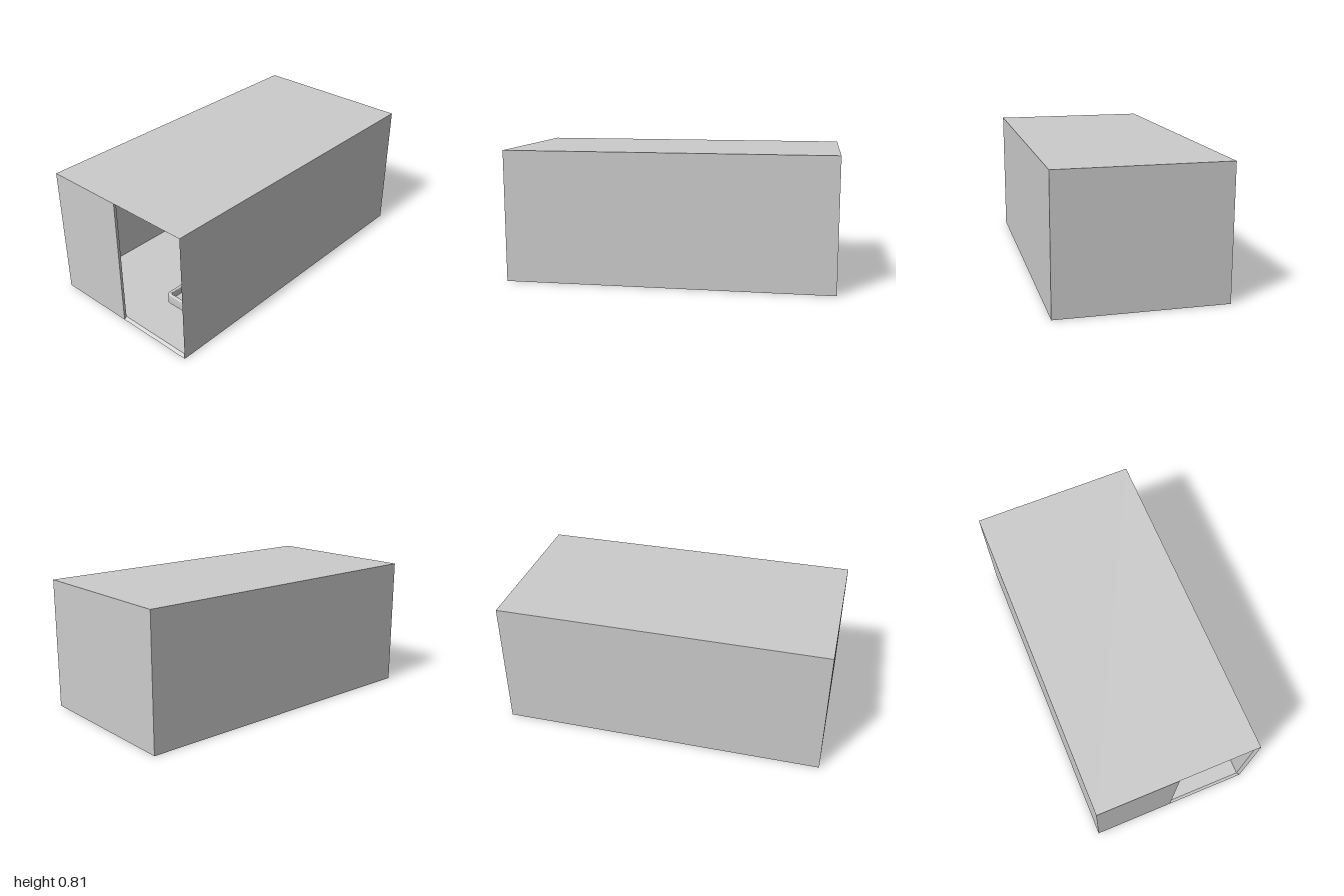
import * as THREE from 'three';
import { toCreasedNormals } from 'three/addons/utils/BufferGeometryUtils.js';

const W = 1.014, H = 0.81, T = 0.016; // cabin width, height, wall thickness
const INNER = W / 2 - T;
const grey = new THREE.MeshStandardMaterial({ color: 0xcccccc });

function add(parent, name, geometry, x = 0, y = 0, z = 0) {
  const mesh = new THREE.Mesh(geometry, grey);
  mesh.name = name;
  mesh.position.set(x, y, z);
  parent.add(mesh);
  return mesh;
}

// Rounded rectangle centred on the origin
function roundedRect(w, d, r, Type = THREE.Shape) {
  const s = new Type();
  const x = w / 2, y = d / 2;
  s.moveTo(-x + r, -y);
  s.lineTo(x - r, -y).absarc(x - r, -y + r, r, -Math.PI / 2, 0);
  s.lineTo(x, y - r).absarc(x - r, y - r, r, 0, Math.PI / 2);
  s.lineTo(-x + r, y).absarc(-x + r, y - r, r, Math.PI / 2, Math.PI);
  s.lineTo(-x, -y + r).absarc(-x + r, -y + r, r, Math.PI, Math.PI * 1.5);
  return s;
}

// Plan shape raised from y = 0 to y = h, with softened edges
function raise(shape, h, bevel = 0) {
  const g = new THREE.ExtrudeGeometry(shape, {
    depth: h - 2 * bevel, bevelEnabled: bevel > 0, bevelSize: bevel, bevelThickness: bevel,
    bevelOffset: -bevel, bevelSegments: 4, curveSegments: 10,
  });
  return toCreasedNormals(g.translate(0, 0, bevel).rotateX(-Math.PI / 2), 0.6);
}

// Open basin: a rounded rim wall and a floor plate
function basin(name, w, h, d, wall, r, floor) {
  const group = new THREE.Group();
  group.name = name;
  const rim = roundedRect(w, d, r);
  rim.holes.push(roundedRect(w - 2 * wall, d - 2 * wall, r * 0.8, THREE.Path));
  add(group, name + 'Rim', raise(rim, h, 0.007));
  add(group, name + 'Floor', raise(roundedRect(w - wall, d - wall, r * 0.9), floor));
  return group;
}

function createShell() {
  const shell = new THREE.Group();
  shell.name = 'shell';
  // Floor, roof and side walls: slabs whose front ends slope inward
  ['roof', 'rightWall', 'floor', 'leftWall'].forEach((name, i) => {
    const out = (i % 2 ? W : H) / 2, depth = i % 2 ? H : W;
    const profile = new THREE.Shape([
      new THREE.Vector2(-1, out - T), new THREE.Vector2(1 - T, out - T),
      new THREE.Vector2(1, out), new THREE.Vector2(-1, out),
    ]);
    const g = new THREE.ExtrudeGeometry(profile, { depth, bevelEnabled: false });
    g.translate(0, 0, -depth / 2).rotateY(-Math.PI / 2).rotateZ(i * Math.PI / 2);
    add(shell, name, g, 0, H / 2, 0);
  });
  add(shell, 'backWall', new THREE.BoxGeometry(W, H, T), 0, H / 2, -1 + T / 2);
  // The front is closed on one half only
  add(shell, 'frontPanel', new THREE.BoxGeometry(W / 2, H, T), -W / 4, H / 2, 1 - T / 2);
  return shell;
}

function createSink() {
  const sink = new THREE.Group();
  sink.name = 'sink';
  const bowl = basin('sinkBowl', 0.215, 0.065, 0.3, 0.018, 0.02, 0.02);
  bowl.position.set(INNER - 0.1075, 0.22, 0);
  sink.add(bowl);
  // Tap ledge along the wall
  add(sink, 'tapLedge', new THREE.BoxGeometry(0.04, 0.045, 0.26), INNER - 0.026, 0.2595, 0);

  // Bracket, rounded in plan, with its underside falling towards the wall
  const plan = new THREE.Shape();
  plan.moveTo(0.146, 0.09);
  plan.lineTo(0.06, 0.09).quadraticCurveTo(0, 0.09, 0, 0);
  plan.quadraticCurveTo(0, -0.09, 0.06, -0.09).lineTo(0.146, -0.09);
  const g = raise(plan, 0.1);
  const p = g.attributes.position;
  for (let i = 0; i < p.count; i++) {
    if (p.getY(i) < 0.05) p.setY(i, 0.055 * (1 - p.getX(i) / 0.146));
  }
  add(sink, 'bracket', toCreasedNormals(g, 0.6), 0.345, 0.122, 0);

  // Tap: post, spout with nozzle, flat lever
  add(sink, 'tapPost', new THREE.CylinderGeometry(0.006, 0.007, 0.042, 20), 0.468, 0.303, 0);
  add(sink, 'tapSpout', new THREE.BoxGeometry(0.055, 0.007, 0.013), 0.441, 0.316, 0);
  add(sink, 'tapNozzle', new THREE.CylinderGeometry(0.005, 0.005, 0.006, 16), 0.42, 0.311, 0);
  add(sink, 'tapLever', new THREE.BoxGeometry(0.047, 0.004, 0.011), 0.451, 0.33, 0);
  add(sink, 'leverNeck', new THREE.CylinderGeometry(0.004, 0.004, 0.012, 16), 0.468, 0.326, 0);
  sink.position.z = 0.75;
  return sink;
}

export function createModel() {
  const model = new THREE.Group();
  model.name = 'bathroomCabin';
  model.add(createShell(), createSink());

  // Bathtub standing across the room against the side wall
  const tub = basin('bathtub', 0.588, 0.216, 0.27, 0.022, 0.045, 0.04);
  tub.position.set(INNER - 0.294, T, 0.105);
  model.add(tub);
  return model;
}
